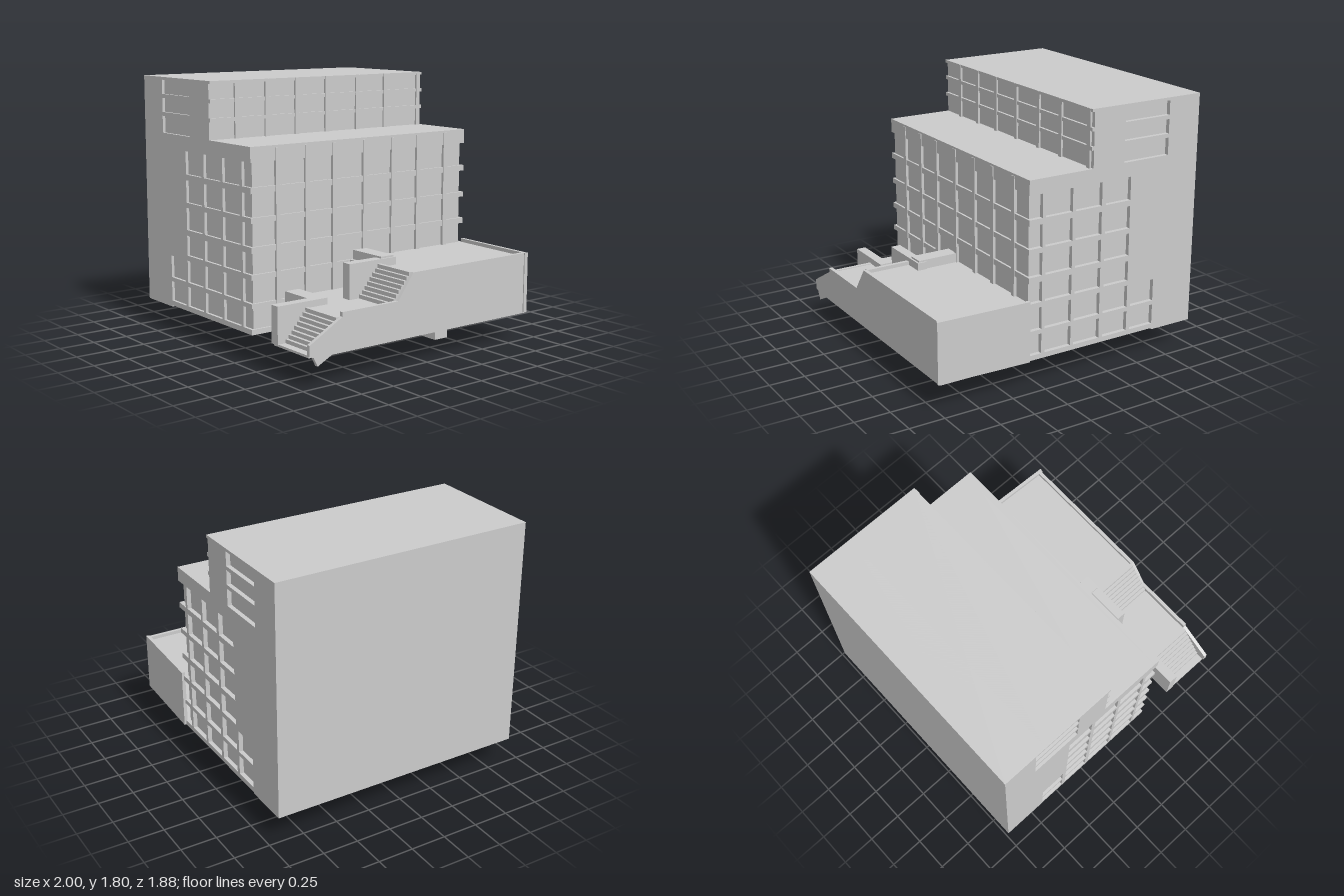
import * as THREE from 'three';

const mat = new THREE.MeshStandardMaterial({ color: 0xcccccc, flatShading: true });

function add(parent, name, geo) {
  const m = new THREE.Mesh(geo, mat);
  m.name = name;
  parent.add(m);
  return m;
}

// Box given by its limits on each axis
function box(parent, name, x0, x1, y0, y1, z0, z1) {
  const g = new THREE.BoxGeometry(x1 - x0, y1 - y0, z1 - z0);
  g.translate((x0 + x1) / 2, (y0 + y1) / 2, (z0 + z1) / 2);
  return add(parent, name, g);
}

function polygon(points) {
  return new THREE.Shape(points.map(([a, b]) => new THREE.Vector2(a, b)));
}

function rectHole(x0, x1, y0, y1) {
  const p = new THREE.Path();
  p.moveTo(x0, y0).lineTo(x0, y1).lineTo(x1, y1).lineTo(x1, y0).closePath();
  return p;
}

// Window rows as [bottom, top], lowest first
const lowerRows = [[0.225, 0.365], [0.395, 0.55], [0.585, 0.725], [0.765, 0.92], [0.955, 1.11], [1.15, 1.31]];
const upperRows = [[1.41, 1.53], [1.555, 1.655], [1.68, 1.78]];
const columns = [[-0.45, -0.25], [-0.22, -0.015], [0.01, 0.215]];

// End wall with window holes and notches where the corner windows wrap round
function endWallShape() {
  const pts = [[-1, 0.18], [-0.67, 0.18], [-0.67, 0.19], [0.34, 0.19]];
  for (const [a, b] of lowerRows) pts.push([0.34, a], [0.24, a], [0.24, b], [0.34, b]);
  pts.push([0.34, 1.41], [-0.145, 1.41], [-0.145, 1.8], [-1, 1.8]);
  const s = polygon(pts);
  lowerRows.forEach(([a, b], i) => {
    for (const [l, r] of columns) s.holes.push(rectHole(l, r, a, b));
    if (i < 2) s.holes.push(rectHole(-0.67, -0.48, a, b));
  });
  for (const [a, b] of upperRows) s.holes.push(rectHole(-0.75, -0.39, a + 0.002, b));
  return s;
}

function buildTower(root) {
  const g = new THREE.Group();
  g.name = 'building';
  root.add(g);

  // Solid cores behind the facades
  box(g, 'rearCore', -1, -0.67, 0.18, 1.8, -0.9, 0.9);
  box(g, 'lowerCore', -0.67, 0.325, 0.19, 1.4, -0.9, 0.9);
  box(g, 'upperCore', -0.67, -0.145, 1.4, 1.8, -0.9, 0.9);

  // End walls
  const shape = endWallShape();
  for (const [name, z, depth] of [['frontWall', 0.9, 0.02], ['backWall', -0.93, 0.03]]) {
    add(g, name, new THREE.ExtrudeGeometry(shape, { depth, bevelEnabled: false })).position.z = z;
  }

  // Floor bands along the right facade
  const lowerEdges = [0.19, ...lowerRows.flat(), 1.41];
  for (let i = 0; i < lowerEdges.length; i += 2)
    box(g, 'lowerBand', 0.3, 0.34, lowerEdges[i], lowerEdges[i + 1], -0.93, 0.92);
  const upperEdges = [...upperRows.flat().slice(1), 1.8];
  for (let i = 0; i < upperEdges.length; i += 2)
    box(g, 'upperBand', -0.15, -0.127, upperEdges[i], upperEdges[i + 1], -0.93, 0.92);

  // Upright fins
  for (const z of [0.71, 0.475, 0.25, -0.01, -0.26, -0.49, -0.745])
    box(g, 'lowerFin', 0.322, 0.345, 0.2, 1.395, z - 0.017, z + 0.017);
  for (const z of [0.71, 0.465, 0.215, -0.045, -0.32, -0.58, -0.895])
    box(g, 'upperFin', -0.138, -0.124, 1.41, 1.799, z - 0.017, z + 0.017);

  // Roofs
  box(g, 'lowerRoof', -0.145, 0.34, 1.39, 1.41, -0.93, 0.92);
  box(g, 'upperRoof', -1, -0.127, 1.785, 1.8, -0.93, 0.92);
}

// Open steps climbing towards the back
function stairs(parent, name, zFront, zBack, yLow, yHigh, count) {
  const g = new THREE.Group();
  g.name = name;
  parent.add(g);
  const run = (zFront - zBack) / count, rise = (yHigh - yLow) / count;
  for (let i = 0; i < count; i++) {
    const z = zFront - i * run, y = yLow + (i + 1) * rise;
    box(g, 'step', 0.645, 0.965, y - rise * 1.3, y, z - run * 1.2, z);
  }
}

function buildTerrace(root) {
  const g = new THREE.Group();
  g.name = 'terrace';
  root.add(g);

  // Floors and undersides
  box(g, 'upperFloor', 0.34, 0.965, 0.555, 0.585, -0.92, 0.115);
  box(g, 'landing', 0.34, 0.965, 0.375, 0.4, 0.05, 0.6);
  box(g, 'landingEdge', 0.6, 0.965, 0.375, 0.4, 0.6, 0.7);
  box(g, 'backUnderside', 0.34, 0.965, 0.185, 0.21, -0.92, -0.09);
  box(g, 'frontUnderside', 0.6, 0.965, 0.185, 0.2, 0.55, 0.93);
  box(g, 'upperRiser', 0.34, 0.645, 0.38, 0.585, 0.06, 0.09);

  // Outer side wall following the stairs
  const side = polygon([
    [-0.92, 0.185], [0.77, 0.185], [0.88, 0.13], [0.91, 0.19], [0.94, 0.2], [0.94, 0.27],
    [0.69, 0.41], [0.69, 0.44], [0.24, 0.44], [0.115, 0.61], [-0.92, 0.61],
  ]);
  const sideGeo = new THREE.ExtrudeGeometry(side, { depth: 0.025, bevelEnabled: false });
  sideGeo.rotateY(-Math.PI / 2);
  add(g, 'sideWall', sideGeo).position.x = 0.988;

  // Slightly skewed back wall
  const back = polygon([[0.335, 0.945], [0.335, 0.92], [0.995, 0.895], [1, 0.92]]);
  const backGeo = new THREE.ExtrudeGeometry(back, { depth: 0.42, bevelEnabled: false });
  backGeo.rotateX(-Math.PI / 2);
  add(g, 'terraceBackWall', backGeo).position.y = 0.19;

  // Flights of steps
  stairs(g, 'upperStairs', 0.285, 0.11, 0.4, 0.61, 8);
  stairs(g, 'lowerStairs', 0.875, 0.7, 0.2, 0.405, 8);

  // L-shaped parapets beside each flight
  box(g, 'upperArm', 0.34, 0.635, 0.565, 0.65, -0.02, 0.09);
  box(g, 'upperWing', 0.58, 0.648, 0.39, 0.638, -0.03, 0.365);
  box(g, 'lowerArm', 0.34, 0.6, 0.36, 0.444, 0.545, 0.658);
  box(g, 'lowerWing', 0.58, 0.648, 0.195, 0.444, 0.545, 0.935);

  // Supporting piers
  box(g, 'backPier', 0.32, 0.637, 0, 0.2, -0.515, -0.4);
  box(g, 'frontPier', 0.32, 0.637, 0.105, 0.385, 0.35, 0.465);
}

export function createModel() {
  const root = new THREE.Group();
  root.name = 'officeBlock';
  buildTower(root);
  buildTerrace(root);
  return root;
}
